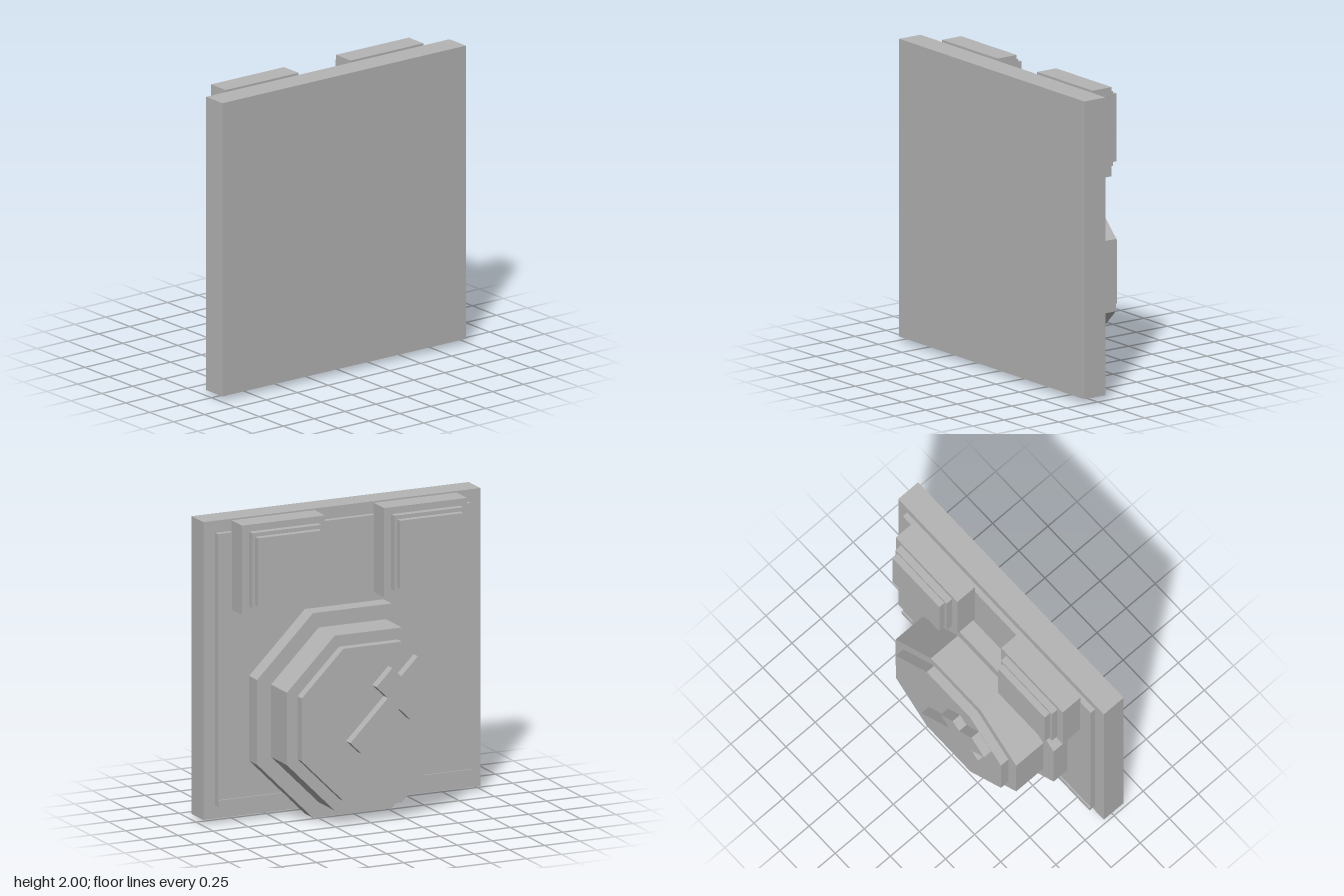
import * as THREE from 'three';

const grey = new THREE.MeshStandardMaterial({ color: 0xb4b4b4 });
grey.name = 'plain grey';
grey.flatShading = true;

// Box given by its extents on each axis
function block(name, [x0, x1], [y0, y1], [z0, z1]) {
  const mesh = new THREE.Mesh(new THREE.BoxGeometry(x1 - x0, y1 - y0, z1 - z0), grey);
  mesh.position.set((x0 + x1) / 2, (y0 + y1) / 2, (z0 + z1) / 2);
  mesh.name = name;
  return mesh;
}

// Octagonal disc with flat sides up, down, left and right
function octagon(name, apothem, z0, z1) {
  const geo = new THREE.CylinderGeometry(apothem / Math.cos(Math.PI / 8), apothem / Math.cos(Math.PI / 8), z1 - z0, 8);
  geo.rotateY(Math.PI / 8);
  geo.rotateX(Math.PI / 2);
  const mesh = new THREE.Mesh(geo, grey);
  mesh.position.z = (z0 + z1) / 2;
  mesh.name = name;
  return mesh;
}

export function createModel() {
  const model = new THREE.Group();
  model.name = 'controlPanel';

  // Large panel with a thin raised backing and a low ledge along its bottom
  model.add(block('panel', [-0.985, 0.985], [0.03, 2], [0.175, 0.345]));
  model.add(block('backing', [-0.9, 0.9], [0.115, 1.92], [0.138, 0.175]));
  model.add(block('bottomLedge', [-0.9, 0.9], [0.115, 0.16], [0.128, 0.175]));

  // Pair of stepped square buttons
  for (const side of [-1, 1]) {
    const button = new THREE.Group();
    button.name = side > 0 ? 'leftButton' : 'rightButton';
    button.add(block('buttonBase', [-0.295, 0.295], [1.41, 2], [-0.012, 0.14]));
    button.add(block('buttonStep', [-0.245, 0.245], [1.46, 1.955], [-0.06, -0.012]));
    button.add(block('buttonCap', [-0.225, 0.225], [1.48, 1.93], [-0.104, -0.06]));
    button.position.x = side * 0.505;
    model.add(button);
  }

  // Octagonal dial in three tiers
  const dial = new THREE.Group();
  dial.name = 'dial';
  dial.position.y = 0.677;
  dial.add(octagon('dialBase', 0.677, 0.02, 0.14));
  dial.add(octagon('dialBody', 0.578, -0.213, 0.02));
  dial.add(octagon('dialCap', 0.503, -0.277, -0.213));

  // Cross-shaped pointer turned 45 degrees: half outline, then its mirror
  const half = [[0.057, -0.21], [0.057, 0.168], [0.172, 0.168], [0.172, 0.329], [0.085, 0.329], [0.085, 0.497]];
  const outline = [...half, ...half.map(([x, y]) => [-x, y]).reverse()];
  const shape = new THREE.Shape(outline.map(([x, y]) => new THREE.Vector2(x, y)));
  const pointer = new THREE.Mesh(new THREE.ExtrudeGeometry(shape, { depth: 0.063, bevelEnabled: false }), grey);
  pointer.name = 'dialPointer';
  pointer.position.z = -0.34;
  pointer.rotation.z = Math.PI / 4;
  dial.add(pointer);
  model.add(dial);

  return model;
}
